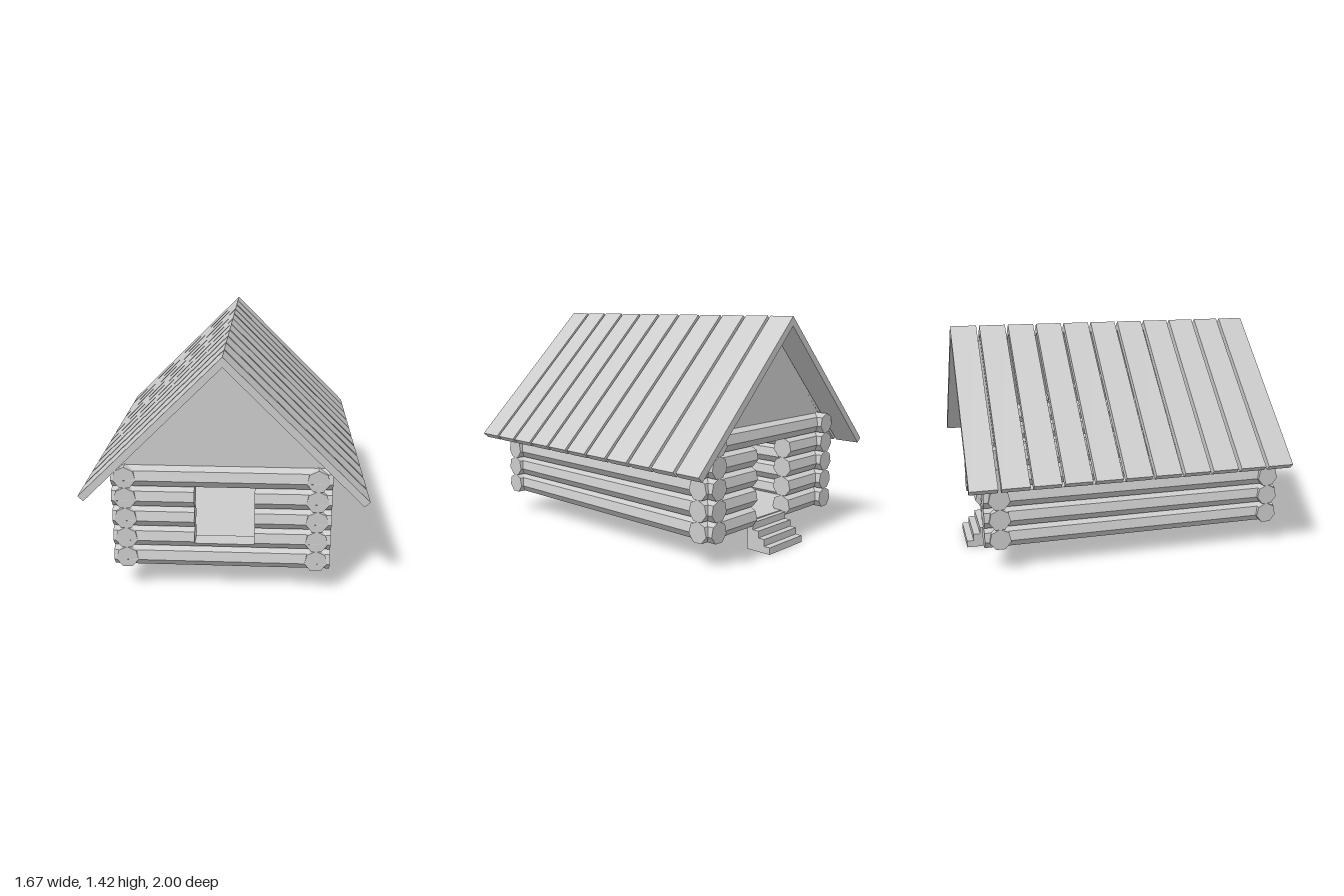
import * as THREE from 'three';

const R = 0.067, ROWS = 5, PITCH = 0.125, Y0 = 0.21;
const LEFT = 0.538, RIGHT = -0.562, FRONT = 0.935, BACK = -0.808;
const mat = new THREE.MeshStandardMaterial({ color: 0xcccccc, flatShading: true });

function add(parent, name, geometry, x = 0, y = 0, z = 0) {
  const mesh = new THREE.Mesh(geometry, mat);
  mesh.name = name;
  mesh.position.set(x, y, z);
  parent.add(mesh);
  return mesh;
}

// Seven-sided log, one corner up, lying along z
function logGeometry(length) {
  return new THREE.CylinderGeometry(R, R, length, 7).rotateX(-Math.PI / 2);
}

function sideLog(parent, x, y) {
  add(parent, 'sideLog', logGeometry(1.9), x, y, 0.05);
}

function crossLog(parent, name, x0, x1, y, z) {
  add(parent, name, logGeometry(x1 - x0).rotateY(Math.PI / 2), (x0 + x1) / 2, y, z);
}

// Outline extruded along z, centred on z = 0
function extrude(points, depth) {
  const shape = new THREE.Shape(points.map(([x, y]) => new THREE.Vector2(x, y)));
  return new THREE.ExtrudeGeometry(shape, { depth, bevelEnabled: false }).translate(0, 0, -depth / 2);
}

export function createModel() {
  const cabin = new THREE.Group();
  cabin.name = 'logCabin';

  // Log walls, interrupted by the window (front) and the doorway (back)
  const walls = new THREE.Group();
  walls.name = 'walls';
  cabin.add(walls);
  for (let i = 0; i < ROWS; i++) {
    const y = Y0 + i * PITCH;
    sideLog(walls, LEFT, y);
    sideLog(walls, RIGHT, y);
    if (i > 0 && i < ROWS - 1) {
      crossLog(walls, 'frontLog', -0.64, -0.165, y, FRONT);
      crossLog(walls, 'frontLog', 0.18, 0.62, y, FRONT);
    } else {
      crossLog(walls, 'frontLog', -0.64, 0.62, y, FRONT);
    }
    if (i < ROWS - 1) {
      crossLog(walls, 'backLog', -0.64, -0.195, y, BACK);
      crossLog(walls, 'backLog', 0.145, 0.62, y, BACK);
    } else {
      crossLog(walls, 'backLog', -0.64, 0.62, y, BACK);
    }
  }

  // Window sill: the remaining underside of the second front log
  const sill = extrude([[-0.029, 0.275], [0.029, 0.275], [0.053, 0.305], [-0.053, 0.305]], 0.345);
  add(cabin, 'windowSill', sill.rotateY(Math.PI / 2), 0.0075, 0, FRONT);

  // Floor
  add(cabin, 'floor', new THREE.BoxGeometry(LEFT - RIGHT, 0.012, FRONT - BACK),
    (LEFT + RIGHT) / 2, 0.172, (FRONT + BACK) / 2);

  // Four steps up to the doorway; outline is (distance behind centre, height)
  const outline = [[0.8, 0], [0.97, 0]];
  for (let i = 0; i < 4; i++) {
    const z = 0.97 - i * 0.043, y = (i + 1) * 0.043;
    outline.push([z, y], [i < 3 ? z - 0.043 : 0.8, y]);
  }
  add(cabin, 'steps', extrude(outline, 0.34).rotateY(Math.PI / 2), -0.025, 0, 0);

  // Gables
  for (const z of [FRONT, BACK]) {
    add(cabin, 'gable', extrude([[-0.61, 0.75], [0.61, 0.75], [0, 1.365]], 0.02), 0, 0, z);
  }

  // Roof planks, one on each slope for every course
  const roof = new THREE.Group();
  roof.name = 'roof';
  cabin.add(roof);
  const count = 11, width = 0.164, step = (2 - width) / (count - 1);
  const rightPlank = extrude([[0, 1.42], [-0.835, 0.592], [-0.803, 0.562], [0, 1.362]], width);
  const leftPlank = extrude([[0, 1.42], [0, 1.362], [0.8, 0.564], [0.832, 0.594]], width);
  for (let i = 0; i < count; i++) {
    const z = -1 + width / 2 + i * step;
    add(roof, 'rightRoofPlank', rightPlank, 0, 0, z);
    add(roof, 'leftRoofPlank', leftPlank, 0, 0, z);
  }
  return cabin;
}
